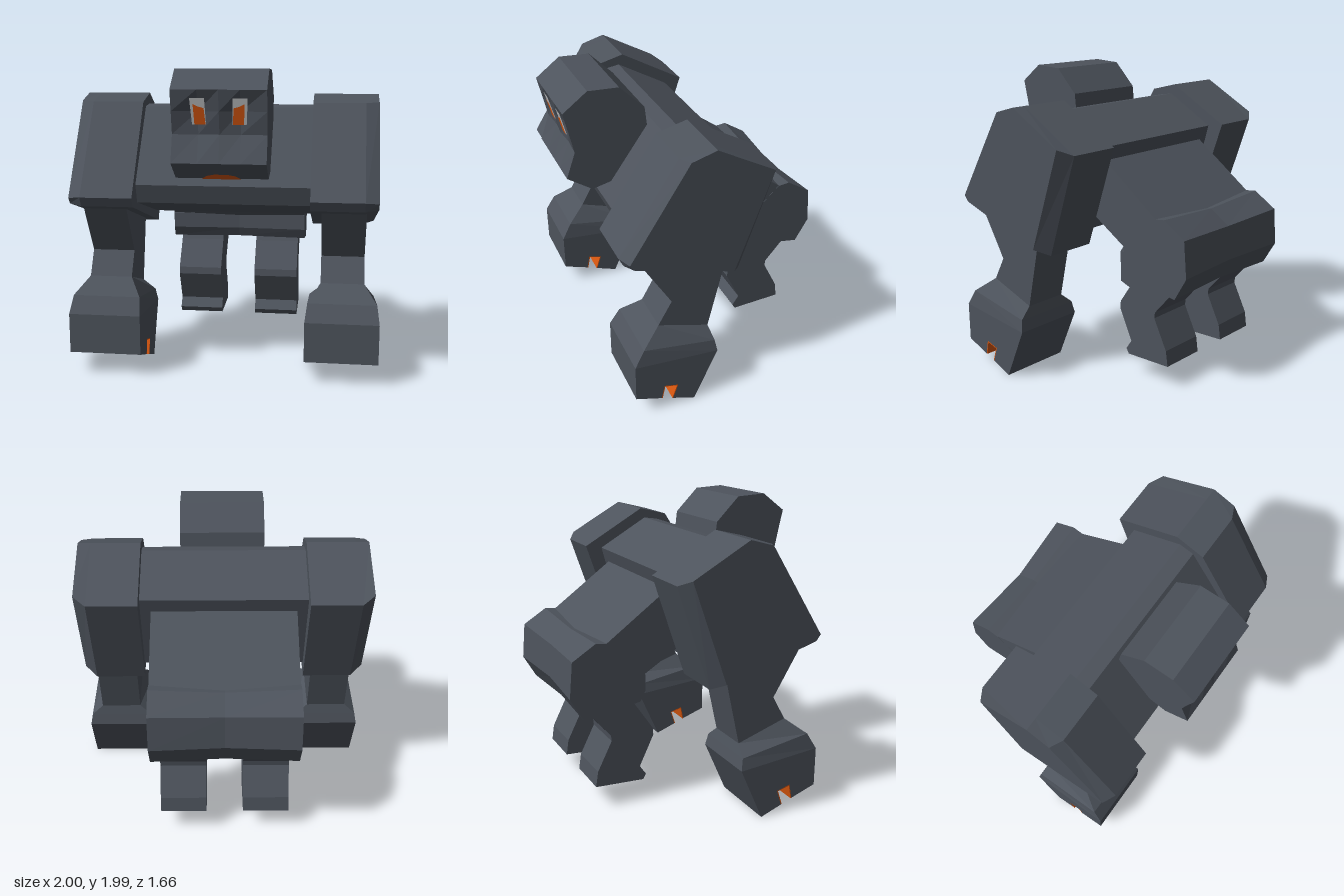
import * as THREE from 'three';

const material = (name, color, opts = {}) => {
  const m = new THREE.MeshStandardMaterial({ color, ...opts });
  m.name = name;
  return m;
};

// Walls between successive rings of [x, y, z] points, as flat faces
function walls(rings, out = []) {
  for (let r = 0; r < rings.length - 1; r++) {
    const a = rings[r], b = rings[r + 1], n = a.length;
    for (let i = 0; i < n; i++) {
      const j = (i + 1) % n;
      out.push(...a[i], ...b[i], ...b[j], ...a[i], ...b[j], ...a[j]);
    }
  }
  return out;
}

function toGeometry(positions) {
  const g = new THREE.BufferGeometry();
  g.setAttribute('position', new THREE.Float32BufferAttribute(positions, 3));
  g.computeVertexNormals();
  return g;
}

// Capped loft along x; each section is { x, pts: [[z, y], ...] }, x increasing
function loftX(sections) {
  const ccw = THREE.ShapeUtils.area(sections[0].pts.map(p => new THREE.Vector2(...p))) > 0;
  const rings = sections.map(s => {
    const pts = ccw ? s.pts : [...s.pts].reverse();
    return pts.map(([z, y]) => [s.x, y, z]);
  });
  const out = walls(rings);
  const cap = (ring, flip) => {
    const contour = ring.map(p => new THREE.Vector2(p[2], p[1]));
    for (const [a, b, c] of THREE.ShapeUtils.triangulateShape(contour, [])) {
      out.push(...ring[a], ...ring[flip ? c : b], ...ring[flip ? b : c]);
    }
  };
  cap(rings[0], false);
  cap(rings[rings.length - 1], true);
  return toGeometry(out);
}

// Mirror sections to the other side when side is -1
const sided = (sections, side) => side > 0 ? sections
  : sections.map(s => ({ x: -s.x, pts: s.pts })).reverse();

const prism = (pts, x0, x1, side = 1) => loftX(sided([{ x: x0, pts }, { x: x1, pts }], side));

// Thin painted plate: flat outline placed by a rule
function plate(points, place) {
  const g = new THREE.ShapeGeometry(new THREE.Shape(points.map(p => new THREE.Vector2(...p))));
  const pos = g.attributes.position;
  for (let i = 0; i < pos.count; i++) pos.setXYZ(i, ...place(pos.getX(i), pos.getY(i)));
  g.computeVertexNormals();
  return g;
}

export function createModel() {
  const group = new THREE.Group();
  const stone = material('slate grey', 0x4d535c, { flatShading: true });
  const orange = material('orange', 0xd9570f, { side: THREE.DoubleSide });
  const white = material('eye white', 0xc0c2c5, { side: THREE.DoubleSide });
  const add = (name, geometry, mat = stone) => {
    const mesh = new THREE.Mesh(geometry, mat);
    mesh.name = name;
    group.add(mesh);
  };

  // Chest between the shoulders
  add('chest', prism([[0.17, 1.75], [0.27, 1.735], [0.61, 1.26], [0.57, 1.14],
    [-0.02, 0.98], [-0.18, 1.55]], -0.56, 0.56));

  // Waist, sloping down to the pelvis
  const waist = [[0.1, 1.5], [-0.15, 1.46], [-0.62, 1.12], [-0.42, 0.85], [0.1, 1.17], [0.3, 1.25]];
  add('waist', prism(waist, -0.485, 0.485));

  // Pelvis, slightly pinched in the middle
  const hips = [[-0.57, 1.15], [-0.65, 1.16], [-0.81, 1.06], [-0.83, 0.82], [-0.74, 0.665],
    [-0.35, 0.73], [-0.315, 0.8], [-0.315, 0.91]];
  const pinched = hips.map(([z, y]) => [-0.57 + (z + 0.57) * 0.87, 0.91 + (y - 0.91) * 0.93 - 0.01]);
  add('pelvis', loftX([{ x: -0.487, pts: hips }, { x: 0, pts: pinched }, { x: 0.487, pts: hips }]));

  // Head, with sunken eye sockets and a nose ridge
  const cx = 0.008;
  const headPts = (mid, low) => [[0.67, 1.99], [0.47, 1.98], [0.31, 1.82], [0.28, 1.55], [0.5, 1.36],
    [0.67, 1.32], [0.83, 1.43], [low, 1.6], [mid, 1.74], [0.83, 1.87]];
  const face = [[-0.29, 0.8, 0.77], [-0.13, 0.77, 0.76], [0, 0.8, 0.77], [0.13, 0.77, 0.76], [0.29, 0.8, 0.77]];
  add('head', loftX(face.map(([x, mid, low]) => ({ x: x + cx, pts: headPts(mid, low) }))));

  // Mouth on the underside of the jaw
  const mouth = [[-0.125, 0], [-0.09, 0.22], [-0.04, 0.32], [0.04, 0.32], [0.09, 0.22], [0.125, 0]];
  add('mouth', plate(mouth, (x, t) => [x + cx, 1.316 + t * 0.11, 0.673 + t * 0.16]), orange);

  // Shoulder and arm outlines as [z, y]
  const shoulder = [[0.14, 1.82], [-0.3, 1.57], [-0.07, 0.9], [0.69, 1.13], [0.72, 1.19], [0.34, 1.77]];
  const shoulderCap = [[0.14, 1.82], [-0.24, 1.61], [0, 0.945], [0.65, 1.14], [0.68, 1.18], [0.3, 1.775]];
  const arm = [[0.62, 1.16], [0.39, 0.78], [0.48, 0.62], [0.14, 0.51], [0.04, 0.94], [0.02, 1.15]];
  const notch = [[0.5, 0.09], [0.48, 0.19], [0.385, 0.165], [0.42, 0.06]];
  const fist = [[0.675, 0.41], [0.675, 0.15], ...notch, [0.27, 0.005], [0.11, 0.36]];
  const lining = [...notch, [0.426, 0.062], [0.393, 0.161], [0.475, 0.182], [0.494, 0.088]];
  const leg = [[-0.42, 0.8], [-0.37, 0.7], [-0.24, 0.51], [-0.235, 0.46], [-0.335, 0.25], [-0.29, 0.185],
    [-0.31, 0.15], [-0.65, 0.165], [-0.635, 0.27], [-0.535, 0.47], [-0.54, 0.51], [-0.67, 0.66], [-0.65, 0.8]];
  // Rings of the flaring wrist: inner x, outer x, front z and y, back z and y
  const flare = [[0.625, 0.905, 0.48, 0.62, 0.14, 0.51], [0.545, 0.985, 0.61, 0.52, 0.125, 0.44],
    [0.53, 1, 0.675, 0.41, 0.11, 0.36]];
  const eyeWhite = [[0.085, 1.82], [0.175, 1.82], [0.165, 1.66], [0.08, 1.66]];
  const iris = [[0.155, 1.785], [0.15, 1.66], [0.082, 1.66], [0.09, 1.76], [0.125, 1.77]];

  for (const side of [1, -1]) {
    const label = side > 0 ? 'left' : 'right';
    add(label + 'Shoulder', loftX(sided([{ x: 0.555, pts: shoulder }, { x: 0.89, pts: shoulder },
      { x: 0.975, pts: shoulderCap }], side)));
    add(label + 'Arm', prism(arm, 0.625, 0.905, side));
    add(label + 'Wrist', toGeometry(walls(flare.map(([i, o, zf, yf, zb, yb]) => {
      const [x0, x1] = side > 0 ? [i, o] : [-o, -i];
      return [[x0, yf, zf], [x1, yf, zf], [x1, yb, zb], [x0, yb, zb]];
    }))));
    add(label + 'Fist', prism(fist, 0.53, 1, side));
    add(label + 'FistNotch', prism(lining, 0.53, 1, side), orange);
    add(label + 'HindLeg', prism(leg, 0.125, 0.438, side));

    // Eyes set into the sockets
    const onFace = lift => (x, y) => [cx + side * x, y, 0.796 + (y - 1.74) * 0.26 + lift];
    add(label + 'EyeWhite', plate(eyeWhite, onFace(0)), white);
    add(label + 'Iris', plate(iris, onFace(0.004)), orange);
  }
  return group;
}
